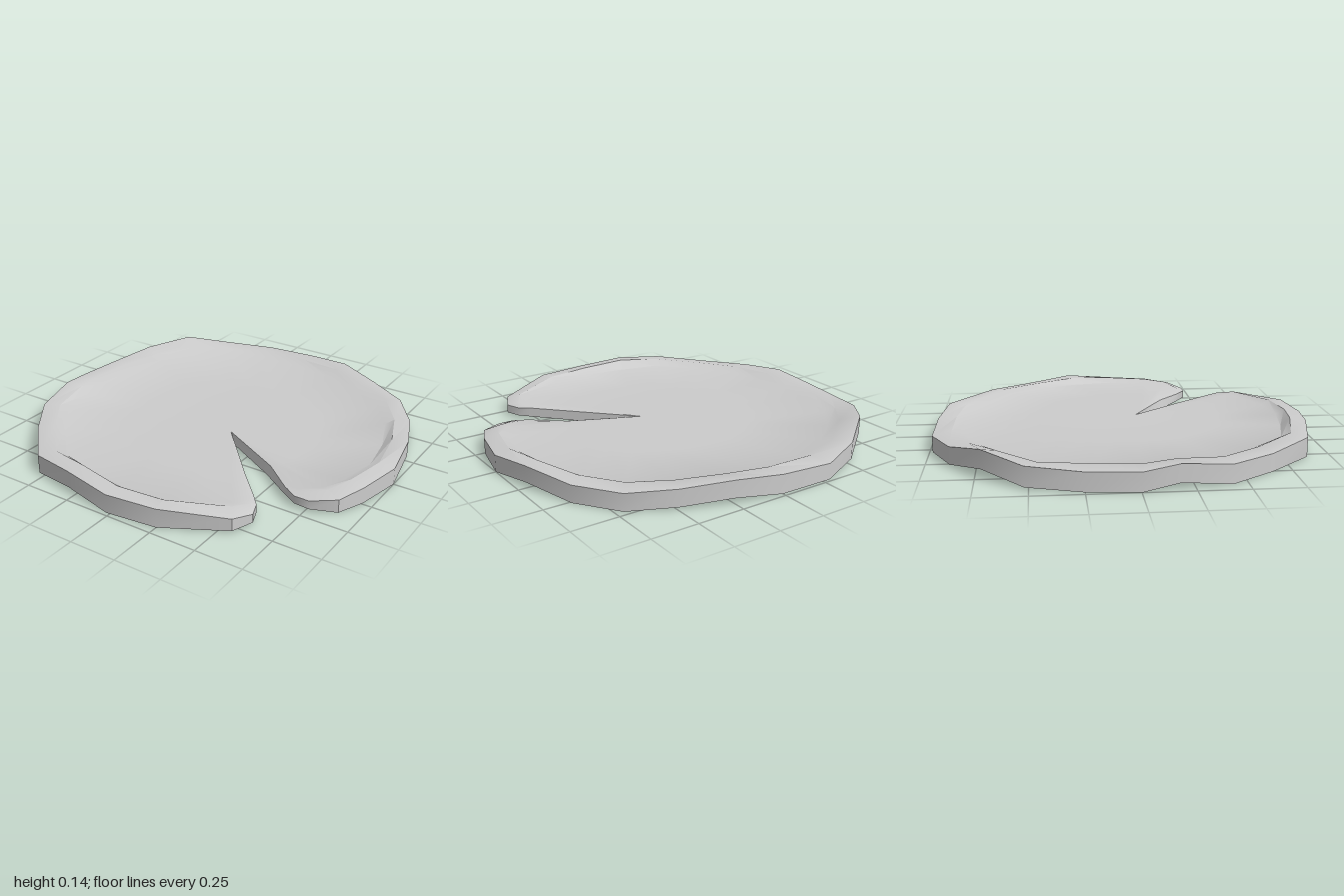
import * as THREE from 'three';
import { toCreasedNormals } from 'three/addons/utils/BufferGeometryUtils.js';

// Rim, counter-clockwise from one lip of the notch to the other:
// [x, z, rim height, height of the ridge inside the rim, underside height]
const RIM = [
  [0.69, 0.45, 0.06, 0.062, 0.02], [0.77, 0.45, 0.06, 0.07, 0.015], [0.89, 0.38, 0.07, 0.09, 0],
  [0.95, 0.24, 0.085, 0.1, 0], [1, 0, 0.09, 0.103, 0], [0.96, -0.25, 0.115, 0.115, 0.03],
  [0.86, -0.51, 0.09, 0.103, 0], [0.71, -0.72, 0.09, 0.103, 0], [0.49, -0.84, 0.1, 0.105, 0.01],
  [0.25, -0.94, 0.12, 0.115, 0.03], [0, -0.98, 0.1, 0.105, 0], [-0.29, -0.985, 0.085, 0.103, 0],
  [-0.54, -0.88, 0.1, 0.1, 0.01], [-0.75, -0.72, 0.145, 0.115, 0.05], [-0.91, -0.52, 0.11, 0.1, 0.01],
  [-0.97, -0.26, 0.095, 0.103, 0], [-1, 0, 0.095, 0.103, 0], [-0.97, 0.18, 0.12, 0.115, 0.03],
  [-0.92, 0.43, 0.095, 0.103, 0], [-0.76, 0.65, 0.09, 0.103, 0], [-0.54, 0.88, 0.1, 0.11, 0],
  [-0.29, 0.94, 0.12, 0.128, 0.03], [-0.02, 0.98, 0.1, 0.11, 0], [0.25, 0.95, 0.1, 0.105, 0],
  [0.56, 0.79, 0.07, 0.09, 0.005], [0.61, 0.69, 0.06, 0.075, 0.015], [0.58, 0.61, 0.06, 0.065, 0.015],
];
const APEX = [0.1, 0.09];
const STEPS = [0, 0.5, 0.86, 0.91, 1];
const OUTER = STEPS.length - 1;
// The notch edges curve, so the spokes beside them bend: [top x, z, underside x, z]
const BENDS = {
  0: [0.455, 0.273, 0.44, 0.285],
  1: [0.49, 0.262, 0.47, 0.275],
  [RIM.length - 1]: [0.4, 0.42, 0.4, 0.42],
};

// Top and underside points along the spoke from the notch apex to rim point i
function spoke(i) {
  const [x, z, rim, ridge, under] = RIM[i];
  const heights = [0.07, Math.min(ridge, 0.075), Math.min(ridge, 0.08), ridge, rim];
  return STEPS.map((t, k) => {
    const px = APEX[0] + (x - APEX[0]) * t;
    const pz = APEX[1] + (z - APEX[1]) * t;
    const [tx, tz, lx, lz] = (k === 1 && BENDS[i]) || [px, pz, px, pz];
    return { top: [tx, heights[k], tz], low: [lx, 0.01 + (under - 0.01) * t, lz] };
  });
}

export function createModel() {
  const spokes = RIM.map((_, i) => spoke(i));
  const positions = [];
  const tri = (a, b, c) => positions.push(...a, ...b, ...c);
  const quad = (a, b, c, d) => { tri(a, b, c); tri(a, c, d); };

  // Dished upper skin with its raised ridge, and the underside, sector by sector
  for (let i = 0; i < spokes.length - 1; i++) {
    const a = spokes[i], b = spokes[i + 1];
    tri(a[0].top, a[1].top, b[1].top);
    tri(a[0].low, b[1].low, a[1].low);
    for (let k = 1; k < OUTER; k++) {
      quad(a[k].top, a[k + 1].top, b[k + 1].top, b[k].top);
      quad(a[k].low, b[k].low, b[k + 1].low, a[k + 1].low);
    }
  }

  // Side wall: out along one notch edge, round the rim, back along the other
  const first = spokes[0], last = spokes[spokes.length - 1];
  const edge = [
    ...first.slice(0, OUTER),
    ...spokes.map((s) => s[OUTER]),
    ...last.slice(1, OUTER).reverse(),
  ];
  edge.forEach((p, i) => {
    const q = edge[(i + 1) % edge.length];
    quad(p.low, q.low, q.top, p.top);
  });

  const geometry = new THREE.BufferGeometry();
  geometry.setAttribute('position', new THREE.Float32BufferAttribute(positions, 3));
  const leaf = new THREE.Mesh(
    toCreasedNormals(geometry, 0.6),
    new THREE.MeshStandardMaterial({ color: 0xcccccc }),
  );
  leaf.name = 'lilyPadLeaf';

  const group = new THREE.Group();
  group.name = 'lilyPad';
  group.add(leaf);
  return group;
}
